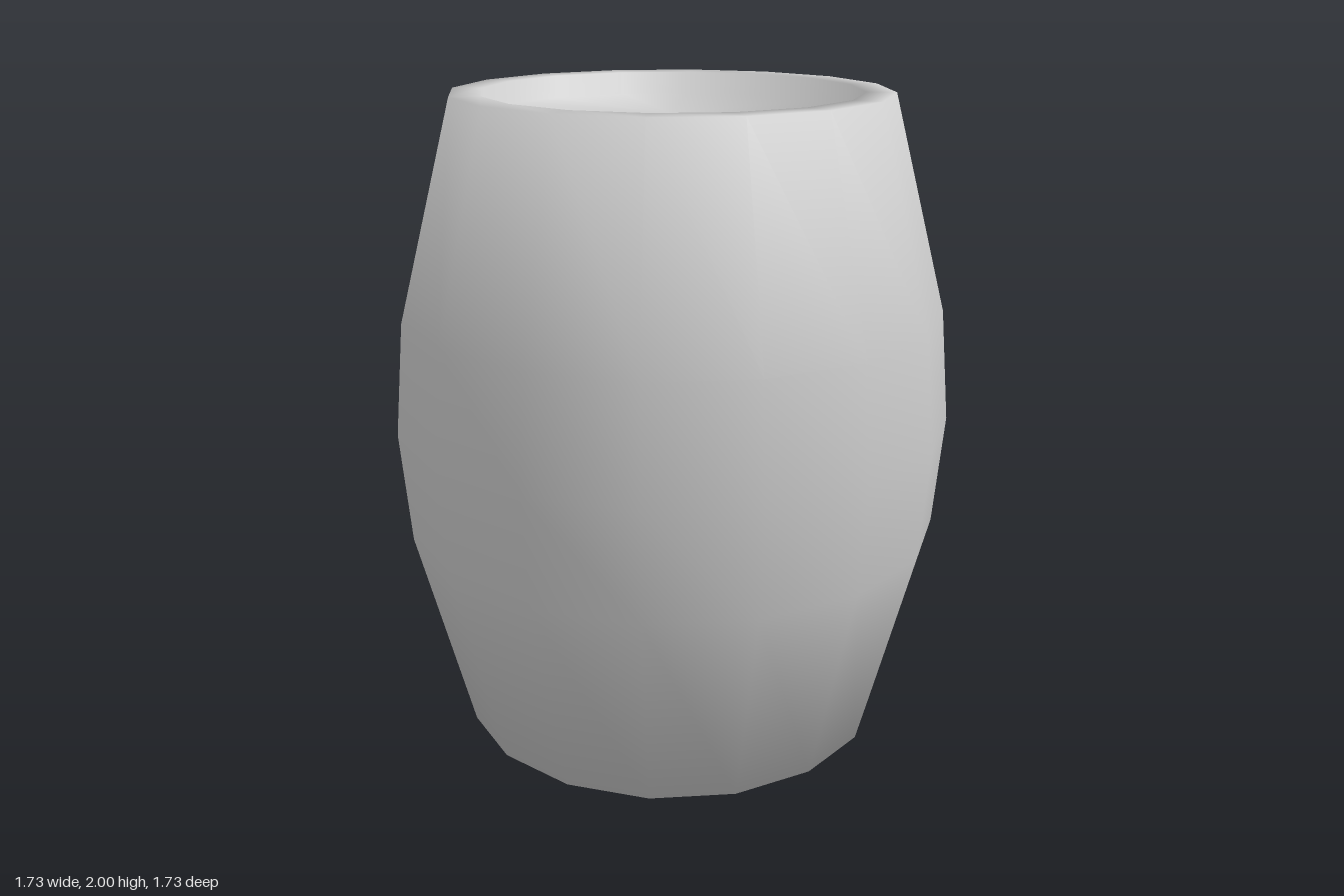
import * as THREE from 'three';

const SIDES = 16;

// Turns a profile of [radius, height] points into a faceted body whose vertex
// normals blend the neighbouring profile segments equally.
function softLathe(profile) {
  const points = profile.map(([r, y]) => new THREE.Vector2(r, y));
  const geometry = new THREE.LatheGeometry(points, SIDES);
  const segments = points.slice(1).map((p, i) => {
    const d = p.clone().sub(points[i]).normalize();
    return new THREE.Vector2(d.y, -d.x);
  });
  const blended = points.map((p, i) => {
    if (i === 0 || i === points.length - 1) return new THREE.Vector2(0, i === 0 ? -1 : 1);
    return segments[i - 1].clone().add(segments[i]).normalize();
  });
  const normal = geometry.attributes.normal;
  for (let s = 0; s <= SIDES; s++) {
    const a = (s / SIDES) * Math.PI * 2;
    blended.forEach((n, j) => {
      normal.setXYZ(s * points.length + j, n.x * Math.sin(a), n.y, n.x * Math.cos(a));
    });
  }
  return geometry;
}

export function createModel() {
  const group = new THREE.Group();
  group.name = 'barrel';

  const profile = [
    // recessed bottom head and lower rim
    [0, 0.07], [0.6, 0.07], [0.6, 0], [0.665, 0],
    // bulging staves
    [0.835, 0.655], [0.865, 1], [0.835, 1.345],
    // upper rim and recessed top head
    [0.665, 2], [0.575, 2], [0.575, 1.93], [0, 1.93],
  ];
  const body = new THREE.Mesh(
    softLathe(profile),
    new THREE.MeshStandardMaterial({ color: 0xcccccc })
  );
  body.name = 'barrelBody';
  group.add(body);
  return group;
}
